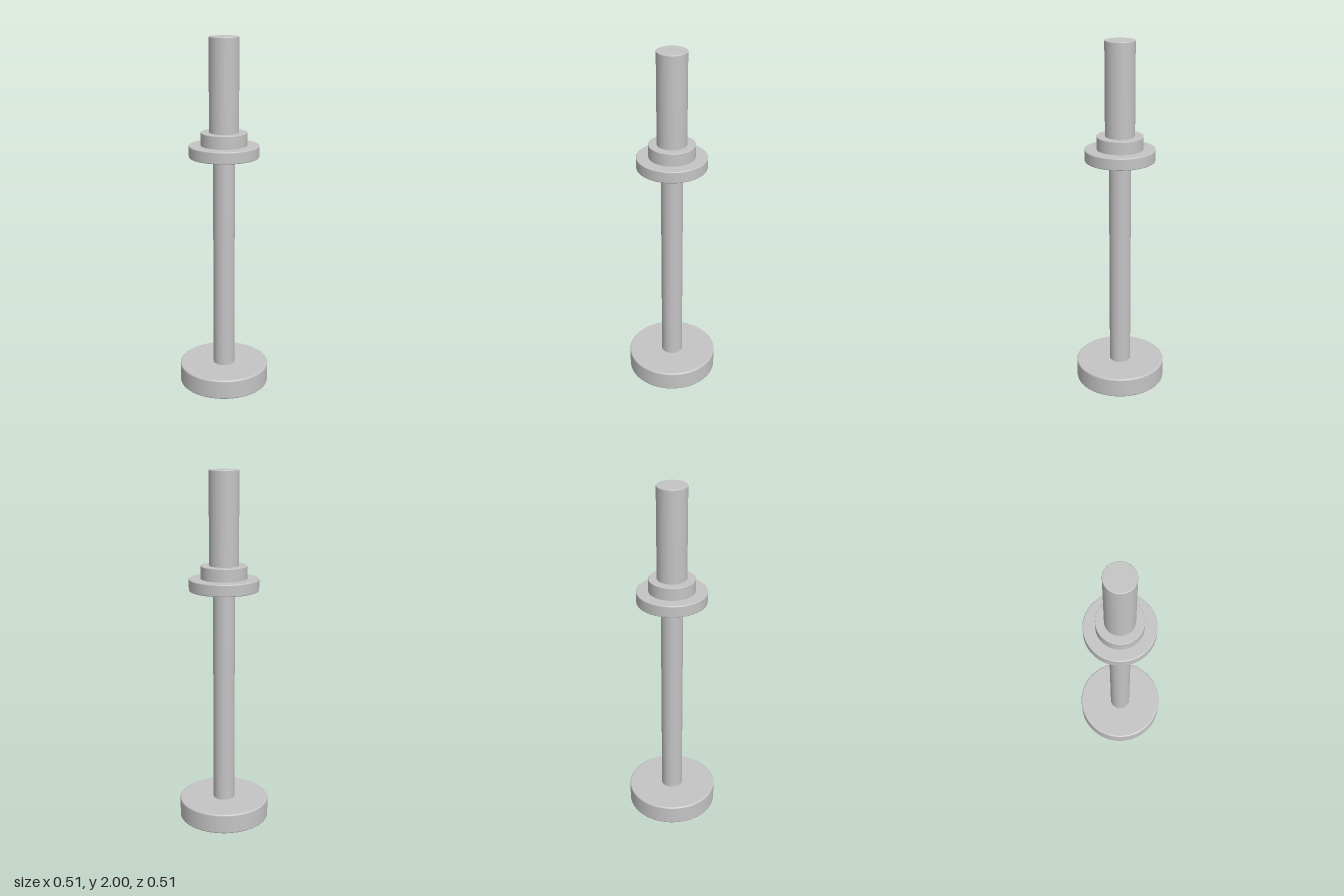
import * as THREE from 'three';

const metal = new THREE.MeshStandardMaterial({ color: 0xc4c4c4 });
metal.name = 'light grey';

// Solid disc or rod with softly rounded rims, turned around the y axis
function turned(name, radius, y0, y1, bevel) {
  const profile = [new THREE.Vector2(0, y0), new THREE.Vector2(radius - bevel - 0.002, y0)];
  const steps = 4;
  for (const [cy, start] of [[y0 + bevel, -Math.PI / 2], [y1 - bevel, 0]]) {
    for (let i = 0; i <= steps; i++) {
      const a = start + (i / steps) * Math.PI / 2;
      profile.push(new THREE.Vector2(radius - bevel + Math.cos(a) * bevel, cy + Math.sin(a) * bevel));
    }
    // short straight run keeps the wall shading flat beside the rim
    if (start < 0) {
      profile.push(new THREE.Vector2(radius, cy + 0.002), new THREE.Vector2(radius, y1 - bevel - 0.002));
    }
  }
  profile.push(new THREE.Vector2(radius - bevel - 0.002, y1), new THREE.Vector2(0, y1));
  const mesh = new THREE.Mesh(new THREE.LatheGeometry(profile, 96), metal);
  mesh.name = name;
  return mesh;
}

export function createModel() {
  const model = new THREE.Group();
  model.name = 'flangedPost';
  model.add(
    turned('base', 0.257, 0, 0.115, 0.008),
    turned('shaft', 0.061, 0.11, 1.355, 0.003),
    turned('flange', 0.194, 1.35, 1.416, 0.005),
    turned('collar', 0.128, 1.41, 1.488, 0.003),
    turned('upperRod', 0.082, 1.48, 2, 0.004),
  );
  return model;
}
